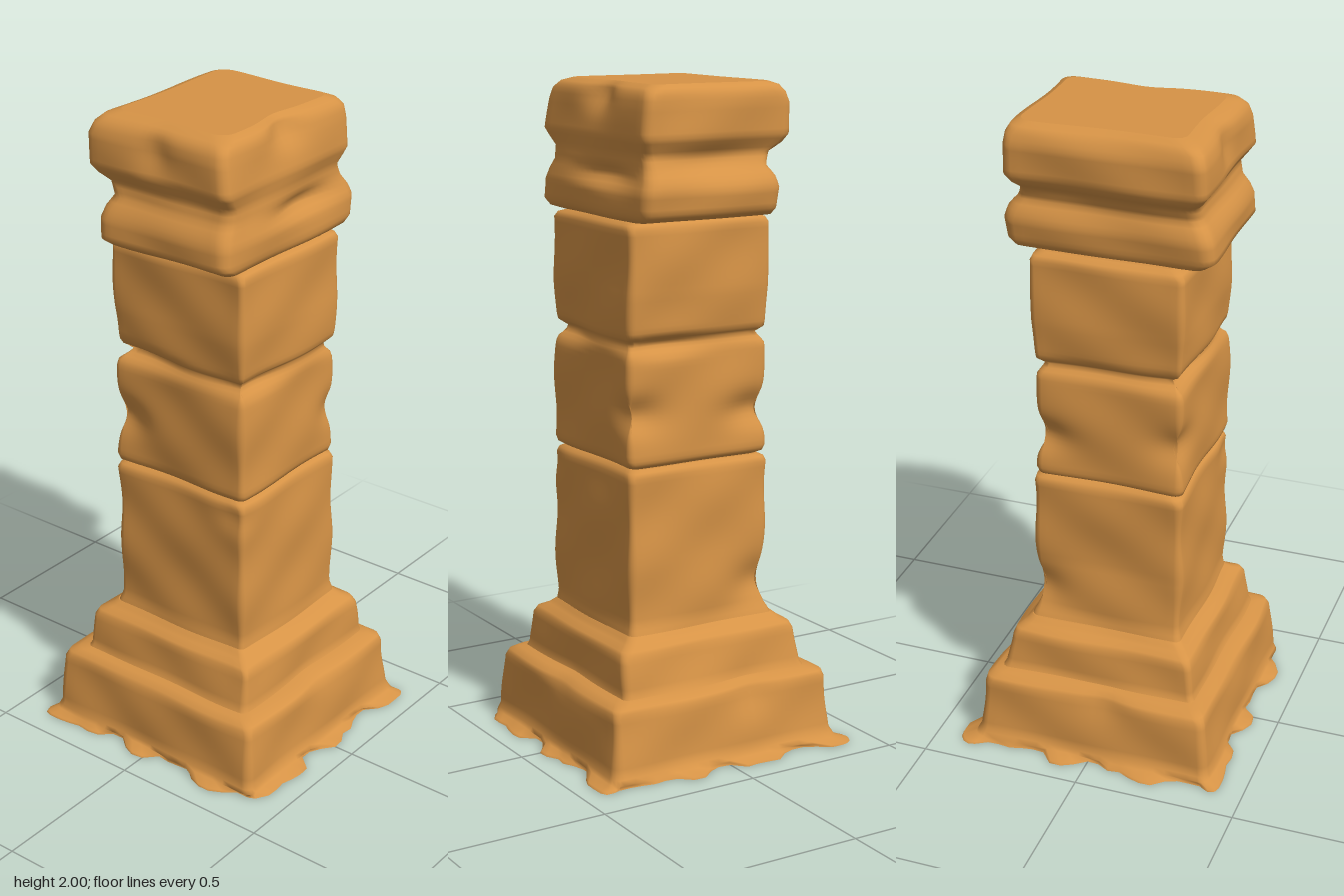
import * as THREE from 'three';

const sandstone = new THREE.MeshStandardMaterial({ color: 0xd69346 });
sandstone.name = 'sandstone';

// Dents worn into the stone: [x, y, z, radiusX, radiusY, radiusZ, depth]
const dents = [
  [-0.16, 1.25, 0.25, 0.13, 0.022, 0.1, 0.025], [0.23, 1.25, 0.12, 0.1, 0.025, 0.14, 0.03],
  [0.22, 1.05, 0.22, 0.07, 0.05, 0.08, 0.03], [0.22, 1.03, -0.2, 0.1, 0.05, 0.11, 0.035],
  [-0.24, 1.26, -0.12, 0.1, 0.025, 0.15, 0.03], [-0.02, 1.26, -0.23, 0.2, 0.022, 0.1, 0.02],
  [0.23, 0.5, -0.21, 0.08, 0.06, 0.09, 0.025], [-0.24, 0.84, 0.22, 0.06, 0.05, 0.06, 0.015],
  [0.06, 1.735, 0.24, 0.13, 0.025, 0.1, 0.03], [0.28, 1.78, 0.0, 0.1, 0.04, 0.2, 0.025],
  [0, 1.97, 0.24, 0.07, 0.05, 0.08, 0.035], [-0.31, 1.93, -0.02, 0.06, 0.06, 0.05, 0.015],
  [0, 0.24, 0.38, 0.07, 0.05, 0.06, 0.012], [-0.04, 0.22, -0.38, 0.06, 0.06, 0.06, 0.015],
  [0.36, 0.2, -0.1, 0.06, 0.07, 0.06, 0.015], [-0.24, 1.05, -0.2, 0.08, 0.05, 0.08, 0.025],
];

// Gentle unevenness of hewn stone
const wobble = (x, y, z) =>
  0.004 * Math.sin(9 * x + 13 * y + 2) * Math.cos(11 * z - 7 * y) +
  0.003 * Math.sin(23 * y + 17 * z - 15 * x);

// Ragged outline of the foot where it meets the ground
const ragged = (t) => 0.024 * Math.tanh(2 * (Math.sin(11 * t + 0.6) + 0.7 * Math.sin(19 * t + 2))) - 0.006;

// Points with outward directions around a rounded rectangle
function ring(x0, x1, z0, z1, r) {
  const corners = [[x1 - r, z1 - r], [x1 - r, z0 + r], [x0 + r, z0 + r], [x0 + r, z1 - r]];
  const points = [], arc = 4, side = 20;
  corners.forEach(([cx, cz], k) => {
    for (let i = 0; i <= arc; i++) {
      const a = (k + i / arc) * Math.PI / 2;
      points.push([cx + r * Math.sin(a), cz + r * Math.cos(a), Math.sin(a), Math.cos(a)]);
    }
    const last = points[points.length - 1], [nx, nz] = corners[(k + 1) % 4];
    for (let i = 1; i < side; i++) {
      const f = i / side;
      points.push([last[0] + (nx - cx) * f, last[1] + (nz - cz) * f, last[2], last[3]]);
    }
  });
  return points;
}

// Loft through levels [y, xMin, xMax, zMin, zMax, cornerRadius], closed at both ends
function stone(name, levels) {
  const rows = [];
  levels.forEach((level, i) => {
    const next = levels[i + 1];
    if (!next) return rows.push(level);
    const n = Math.max(1, Math.ceil((next[0] - level[0]) / 0.016));
    for (let s = 0; s < n; s++) rows.push(level.map((v, k) => v + (next[k] - v) * s / n));
  });
  const pos = [], idx = [];
  let count = 0;
  rows.forEach(([y, ...size]) => {
    const points = ring(...size);
    count = points.length;
    points.forEach(([x, z, dx, dz]) => {
      let push = y < 0.012 ? ragged(Math.atan2(x, z)) : wobble(x, y, z);
      for (const [cx, cy, cz, rx, ry, rz, depth] of dents) {
        const d = ((x - cx) / rx) ** 2 + ((y - cy) / ry) ** 2 + ((z - cz) / rz) ** 2;
        push -= depth * Math.exp(-d);
      }
      pos.push(x + dx * push, y, z + dz * push);
    });
  });
  for (let j = 0; j < rows.length - 1; j++) {
    for (let i = 0; i < count; i++) {
      const a = j * count + i, b = j * count + (i + 1) % count;
      idx.push(a, b, a + count, b, b + count, a + count);
    }
  }
  // End faces use their own vertices to keep the edge crisp
  [0, rows.length - 1].forEach((row, top) => {
    const start = pos.length / 3;
    const [y, x0, x1, z0, z1] = rows[row];
    pos.push((x0 + x1) / 2, y, (z0 + z1) / 2);
    for (let i = 0; i < count; i++) {
      const p = (row * count + i) * 3;
      pos.push(pos[p], pos[p + 1], pos[p + 2]);
    }
    for (let i = 0; i < count; i++) {
      const a = start + 1 + i, b = start + 1 + (i + 1) % count;
      if (top) idx.push(start, a, b);
      else idx.push(start, b, a);
    }
  });
  const geometry = new THREE.BufferGeometry();
  geometry.setAttribute('position', new THREE.Float32BufferAttribute(pos, 3));
  geometry.setIndex(idx);
  geometry.computeVertexNormals();
  const mesh = new THREE.Mesh(geometry, sandstone);
  mesh.name = name;
  return mesh;
}

export function createModel() {
  const group = new THREE.Group();
  group.name = 'stonePillar';
  group.add(
    // Broad foot with a ragged flare
    stone('plinth', [
      [0, -0.405, 0.405, -0.42, 0.42, 0.04],
      [0.006, -0.402, 0.402, -0.415, 0.415, 0.04],
      [0.014, -0.385, 0.378, -0.392, 0.395, 0.03],
      [0.04, -0.375, 0.364, -0.378, 0.384, 0.025],
      [0.2, -0.364, 0.352, -0.368, 0.378, 0.025],
      [0.222, -0.355, 0.345, -0.36, 0.37, 0.03],
      [0.234, -0.335, 0.325, -0.335, 0.345, 0.03],
      [0.24, -0.3, 0.29, -0.3, 0.31, 0.03],
    ]),
    // Second step
    stone('baseStep', [
      [0.225, -0.32, 0.315, -0.318, 0.325, 0.025],
      [0.25, -0.306, 0.302, -0.305, 0.315, 0.02],
      [0.35, -0.294, 0.284, -0.297, 0.311, 0.02],
      [0.37, -0.286, 0.276, -0.288, 0.302, 0.025],
      [0.382, -0.265, 0.255, -0.265, 0.278, 0.025],
      [0.4, -0.245, 0.238, -0.245, 0.258, 0.025],
    ]),
    // Shaft blocks
    stone('lowerShaft', [
      [0.37, -0.25, 0.245, -0.25, 0.262, 0.025],
      [0.43, -0.238, 0.23, -0.23, 0.252, 0.02],
      [0.6, -0.238, 0.23, -0.222, 0.252, 0.02],
      [0.87, -0.238, 0.226, -0.23, 0.25, 0.02],
      [0.885, -0.232, 0.222, -0.224, 0.244, 0.025],
      [0.893, -0.215, 0.205, -0.208, 0.228, 0.025],
    ]),
    stone('middleShaft', [
      [0.893, -0.215, 0.195, -0.208, 0.228, 0.025],
      [0.902, -0.233, 0.21, -0.224, 0.244, 0.02],
      [0.92, -0.238, 0.216, -0.229, 0.25, 0.02],
      [1.23, -0.238, 0.212, -0.228, 0.249, 0.02],
      [1.25, -0.23, 0.204, -0.22, 0.242, 0.025],
      [1.262, -0.222, 0.2, -0.215, 0.238, 0.025],
      [1.28, -0.236, 0.218, -0.226, 0.248, 0.02],
      [1.4, -0.24, 0.226, -0.232, 0.25, 0.02],
      [1.59, -0.24, 0.228, -0.234, 0.248, 0.02],
      [1.605, -0.232, 0.222, -0.228, 0.242, 0.025],
      [1.613, -0.21, 0.2, -0.205, 0.22, 0.025],
    ]),
    // Worn capital with a waist between two swelling courses
    stone('capital', [
      [1.612, -0.235, 0.235, -0.19, 0.22, 0.03],
      [1.62, -0.285, 0.285, -0.205, 0.238, 0.03],
      [1.64, -0.313, 0.304, -0.213, 0.246, 0.035],
      [1.7, -0.312, 0.312, -0.22, 0.246, 0.04],
      [1.73, -0.3, 0.303, -0.212, 0.238, 0.04],
      [1.76, -0.278, 0.285, -0.198, 0.23, 0.04],
      [1.8, -0.27, 0.268, -0.215, 0.228, 0.035],
      [1.825, -0.288, 0.276, -0.245, 0.234, 0.03],
      [1.85, -0.304, 0.288, -0.258, 0.24, 0.03],
      [1.94, -0.298, 0.288, -0.262, 0.228, 0.03],
      [1.97, -0.288, 0.284, -0.25, 0.222, 0.03],
      [1.99, -0.265, 0.272, -0.233, 0.208, 0.035],
      [2, -0.23, 0.25, -0.205, 0.18, 0.035],
    ]),
  );
  return group;
}
